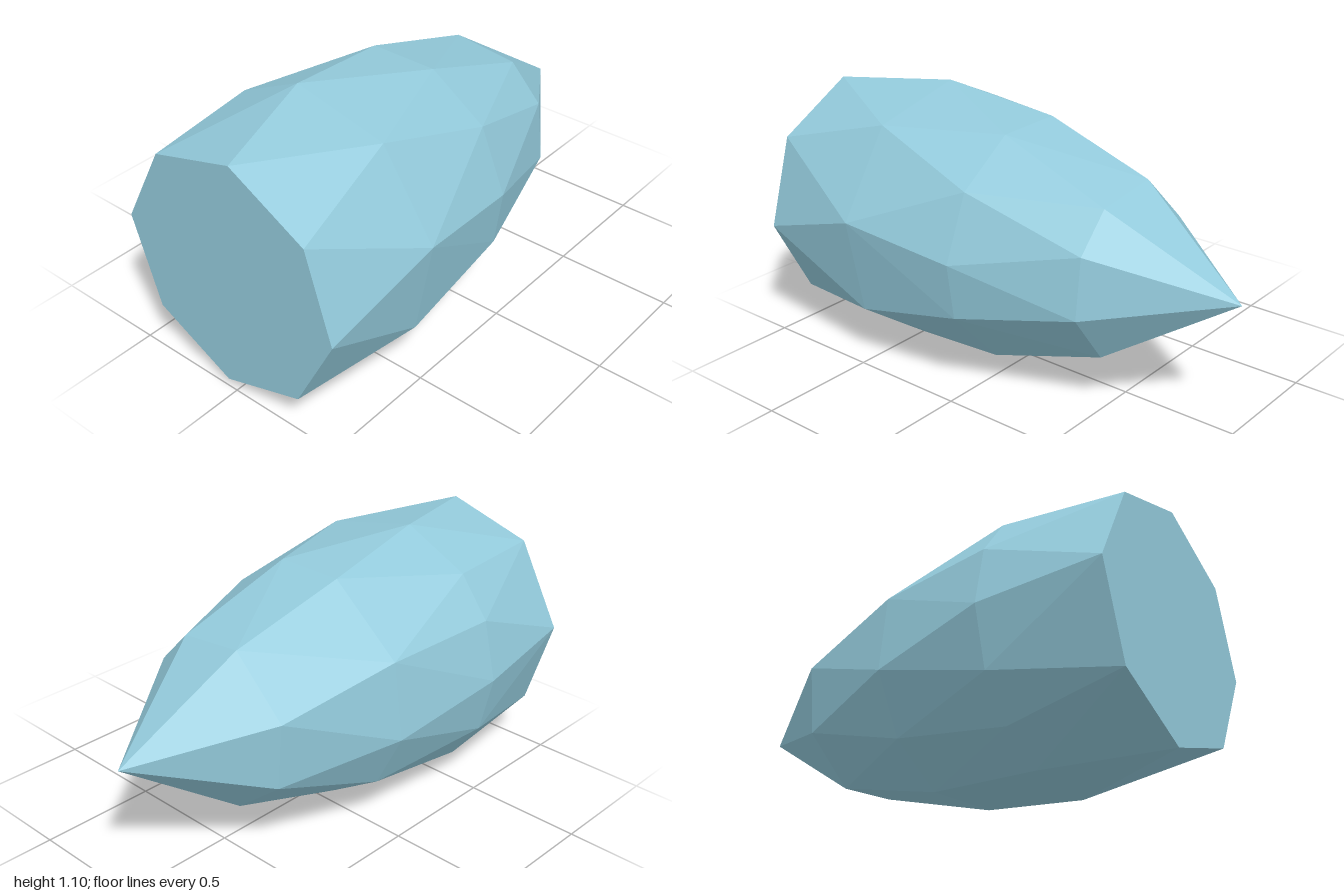
import * as THREE from 'three';
import { ConvexGeometry } from 'three/addons/geometries/ConvexGeometry.js';

export function createModel() {
  const group = new THREE.Group();
  group.name = 'facetedBullet';
  const paleBlue = new THREE.MeshStandardMaterial({ color: 0x93cadb });
  paleBlue.name = 'paleBlue';

  // Irregular rings around the long axis: depth, radius, corner angles in degrees
  const centreY = 0.55;
  const rings = [
    { z: 1, r: 0.513, angles: [83.3, 39, -5.6, -50, -94.5, -139.8, 174.4, 128.3] },
    { z: 0.5, r: 0.562, angles: [99, 55, 11.2, -32.7, -76.5, -110, -132, -154, 180, 153.4, 131.7] },
    { z: 0, r: 0.506, angles: [72.7, 39, 5.7, -22, -64, -106.5, -138, -169, 153, 106.5] },
    { z: -0.5, r: 0.359, angles: [107, 60, 27, -14.4, -60, -106, -152, 161] },
  ];

  // Pointed tip at the back, then every ring corner
  const points = [new THREE.Vector3(0, centreY, -1)];
  for (const { z, r, angles } of rings) {
    for (const degrees of angles) {
      const a = THREE.MathUtils.degToRad(degrees);
      points.push(new THREE.Vector3(r * Math.cos(a), centreY + r * Math.sin(a), z));
    }
  }

  // Flat-faced convex skin over the rings, closed by a flat front cap
  const body = new THREE.Mesh(new ConvexGeometry(points), paleBlue);
  body.name = 'facetedBody';
  group.add(body);
  return group;
}
